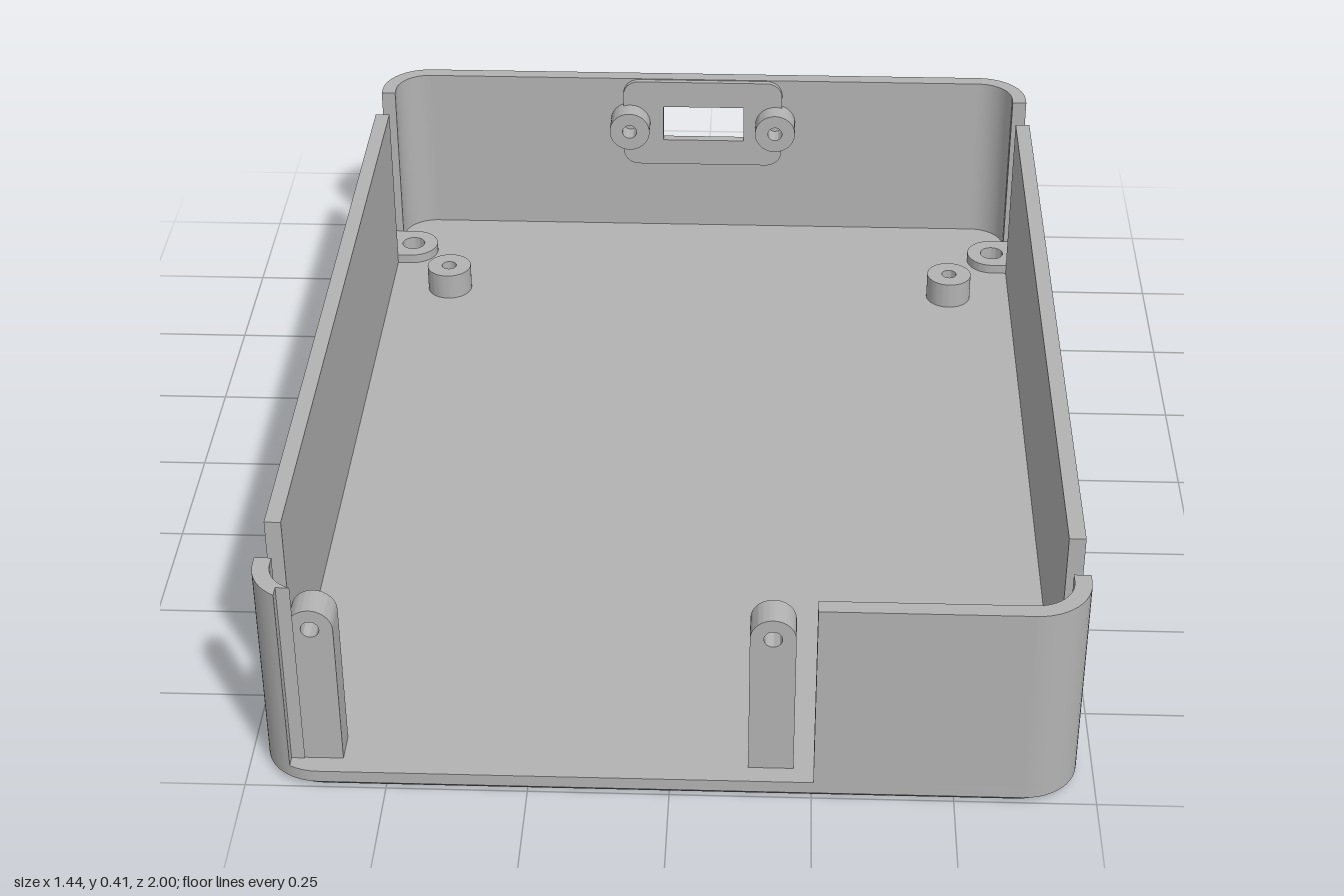
import * as THREE from 'three';
import { toCreasedNormals } from 'three/addons/utils/BufferGeometryUtils.js';

const W = 0.72, D = 1, H = 0.41;      // half width, half depth, height
const T = 0.03, R = 0.1;              // wall thickness, outer corner radius
const FLOOR = 0.035, SILL = 0.055;    // floor top, bottom of the side slots
const SLOT_IN = 0.775, SLOT_OUT = 0.88;
const SCREW = { x: 0.66, z: 0.825, r: 0.025, head: 0.045, boss: 0.055 };

export function createModel() {
  const model = new THREE.Group();
  model.name = 'enclosureTray';
  const plastic = new THREE.MeshStandardMaterial({ color: 0xb3b3b3, side: THREE.DoubleSide });
  plastic.name = 'greyPlastic';

  const add = (name, geo) => {
    const m = new THREE.Mesh(geo, plastic);
    m.name = name;
    model.add(m);
    return m;
  };
  // points along an arc, angles in degrees
  const arc = (cx, cy, r, a0, a1, n = 12) => Array.from({ length: n + 1 }, (_, i) => {
    const a = THREE.MathUtils.degToRad(a0 + (a1 - a0) * i / n);
    return new THREE.Vector2(cx + r * Math.cos(a), cy + r * Math.sin(a));
  });
  const P = (x, y) => new THREE.Vector2(x, y);
  const roundRect = (cx, cy, hw, hh, r) => [
    ...arc(cx + hw - r, cy + hh - r, r, 0, 90), ...arc(cx - hw + r, cy + hh - r, r, 90, 180),
    ...arc(cx - hw + r, cy - hh + r, r, 180, 270), ...arc(cx + hw - r, cy - hh + r, r, 270, 360),
  ];
  const rect = (x0, x1, y0, y1) => [P(x0, y0), P(x1, y0), P(x1, y1), P(x0, y1)];
  const circle = (cx, cy, r) => arc(cx, cy, r, 0, 352.5, 47);

  const extrude = (pts, holes, depth, steps = 1) => {
    const s = new THREE.Shape(pts);
    s.holes = holes.map(h => new THREE.Path(h));
    return new THREE.ExtrudeGeometry(s, { depth, steps, bevelEnabled: false });
  };
  // outline in x,z extruded between two heights
  const plan = (pts, holes, y0, y1, steps) =>
    extrude(pts, holes, y1 - y0, steps).rotateX(Math.PI / 2).translate(0, y1, 0);
  // outline in x,y extruded between two depths
  const upright = (pts, holes, z0, z1) => extrude(pts, holes, z1 - z0).translate(0, 0, z0);
  const smooth = g => toCreasedNormals(g, 0.6);
  const box = (name, x0, x1, y0, y1, z0, z1) => add(name,
    new THREE.BoxGeometry(x1 - x0, y1 - y0, z1 - z0)
      .translate((x0 + x1) / 2, (y0 + y1) / 2, (z0 + z1) / 2));

  const corners = [[1, 1], [1, -1], [-1, 1], [-1, -1]];

  // floor with screw openings and a chamfered lower edge
  const floor = plan(roundRect(0, 0, W, D, R),
    corners.map(([sx, sz]) => circle(sx * SCREW.x, sz * SCREW.z, SCREW.head)), 0, FLOOR, 3);
  const p = floor.attributes.position;
  for (let i = 0; i < p.count; i++) {
    const x = p.getX(i), z = p.getZ(i);
    const atScrew = Math.hypot(Math.abs(x) - SCREW.x, Math.abs(z) - SCREW.z) < 0.058;
    if (p.getY(i) < 1e-4 && !atScrew) p.setXYZ(i, x - Math.sign(x) * 0.011, 0, z - Math.sign(z) * 0.011);
  }
  add('floor', smooth(floor));

  // countersunk screw bosses
  for (const [sx, sz] of corners) {
    const { x, z, r, head, boss } = SCREW;
    const tab = [P(W - T, z - boss), ...arc(x, z, boss, 270, 90, 24), P(W - T, z + boss)]
      .map(v => P(v.x * sx, v.y * sz));
    add('screwBoss', smooth(plan(tab, [circle(x * sx, z * sz, r)], 0.025, SILL)));
    add('countersink', new THREE.CylinderGeometry(r, head, 0.025, 48, 1, true)
      .translate(x * sx, 0.0125, z * sz));
  }

  // side walls, with low sills in the slots
  for (const s of [-1, 1]) {
    const [x0, x1] = s > 0 ? [W - T, W] : [-W, -W + T];
    box('sideWall', x0, x1, FLOOR, H, -SLOT_IN, SLOT_IN);
    box('slotSill', x0, x1, FLOOR, SILL, SLOT_IN, SLOT_OUT);
    box('slotSill', x0, x1, FLOOR, SILL, -SLOT_OUT, -SLOT_IN);
  }

  // three full rounded corners
  const cx = W - R, cz = D - R;
  const corner = [P(W, SLOT_OUT), ...arc(cx, cz, R, 0, 90), ...arc(cx, cz, R - T, 90, 0), P(W - T, SLOT_OUT)];
  for (const [sx, sz] of [[1, 1], [1, -1], [-1, -1]])
    add('cornerWall', smooth(plan(corner.map(v => P(v.x * sx, v.y * sz)), [], FLOOR, H)));

  // front corner trimmed by the wide front opening
  add('trimmedCorner', smooth(plan([P(-W, SLOT_OUT), ...arc(-cx, cz, R, 180, 120),
    P(-0.67, 0.965), ...arc(-cx, cz, R - T, 111.8, 180), P(-W + T, SLOT_OUT)], [], FLOOR, H)));
  box('frontWall', 0.253, cx, FLOOR, H, D - T, D);

  // back wall with a port window, outer recess and inner pad
  const portY = 0.304;
  const panel = rect(-cx, cx, FLOOR, H);
  const port = rect(-0.092, 0.09, 0.262, 0.346);
  add('backWallOuter', smooth(upright(panel, [roundRect(0, portY, 0.15, 0.085, 0.035)], -D, -0.978)));
  add('backWallInner', upright(panel, [port], -0.978, -D + T));
  add('portPad', smooth(upright(roundRect(-0.003, portY, 0.18, 0.104, 0.035), [port], -D + T, -0.958)));
  for (const x of [-0.167, 0.162])
    add('portScrewPost', smooth(upright(circle(x, portY, 0.045), [circle(x, portY, 0.016)], -D + T, -0.913)));

  // board standoffs
  for (const [x, z] of [[-0.56, -0.665], [0.555, -0.665], [0.555, 0.797]])
    add('standoff', smooth(plan(circle(x, z, 0.048), [circle(x, z, 0.016)], FLOOR, 0.092)));

  // upright round-topped brackets in the front opening
  for (const x of [-0.618, 0.178])
    add('frontBracket', smooth(upright(
      [P(x - 0.04, FLOOR), P(x + 0.04, FLOOR), ...arc(x, 0.32, 0.04, 0, 180, 24)],
      [circle(x, 0.32, 0.016)], 0.903, 0.963)));

  return model;
}
